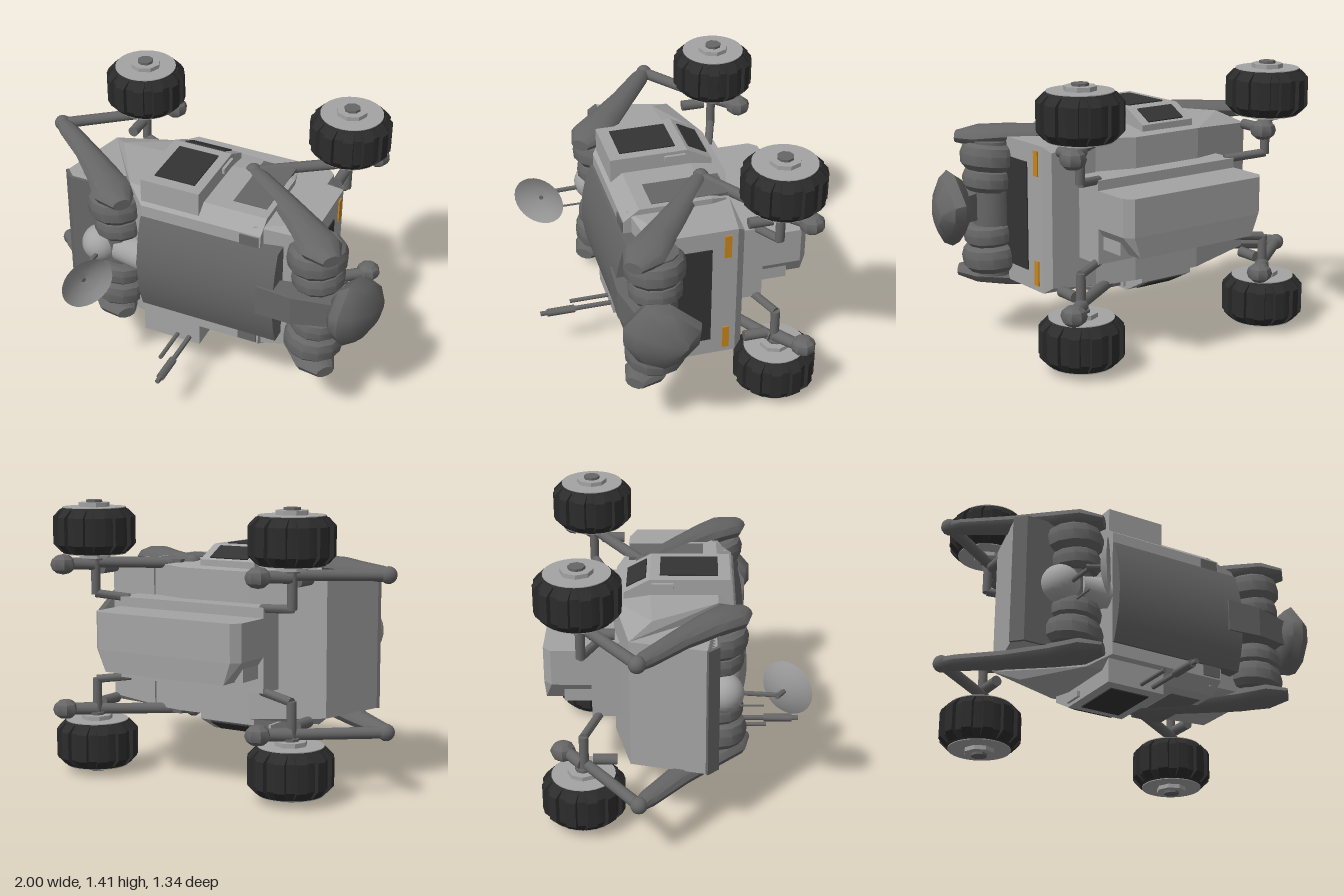
import * as THREE from 'three';
import { toCreasedNormals } from 'three/addons/utils/BufferGeometryUtils.js';
import { ConvexGeometry } from 'three/addons/geometries/ConvexGeometry.js';

const CY = 0.7075; // plane of symmetry between the two wheel rows
const SIDES = [1, -1];
const V = (x, y, z) => new THREE.Vector3(x, y, z);

export function createModel() {
  const model = new THREE.Group();
  const mat = (name, color) => Object.assign(new THREE.MeshStandardMaterial({ color }), { name });
  const light = mat('light grey', 0xa4a4a4);
  const grey = mat('mid grey', 0x666666);
  const glass = mat('dark glass', 0x333333);
  const rubber = mat('tyre rubber', 0x2c2c2c);
  const orange = mat('orange lamp', 0xc8861c);
  const red = mat('red grille', 0x5c1c16);
  const dishMat = mat('dish grey', 0x9a9a9a);
  dishMat.side = THREE.DoubleSide;

  function add(name, geo, material, parent = model) {
    const mesh = new THREE.Mesh(geo, material);
    mesh.name = name;
    parent.add(mesh);
    return mesh;
  }
  // Box given by its ranges
  function box(name, x0, x1, y0, y1, z0, z1, m) {
    const b = add(name, new THREE.BoxGeometry(x1 - x0, y1 - y0, z1 - z0), m);
    b.position.set((x0 + x1) / 2, (y0 + y1) / 2, (z0 + z1) / 2);
    return b;
  }
  // Faceted block, mirrored about the symmetry plane; each corner is [x, z, half height]
  function block(name, corners, m) {
    const pts = corners.flatMap(([x, z, h]) => SIDES.map(s => V(x, CY + s * h, z)));
    return add(name, new ConvexGeometry(pts), m);
  }
  function rod(name, a, b, r0, r1, m, sides = 12, parent = model) {
    const d = b.clone().sub(a);
    const mesh = add(name, toCreasedNormals(new THREE.CylinderGeometry(r1, r0, d.length(), sides), 0.7), m, parent);
    mesh.position.copy(a).add(b).multiplyScalar(0.5);
    mesh.quaternion.setFromUnitVectors(V(0, 1, 0), d.normalize());
    return mesh;
  }
  // Limb lofted through elliptical sections [x, y, z, half width, half height]
  function limb(name, secs, m) {
    const n = 10, pos = [], idx = [];
    secs.forEach(([x, y, z, w, h], i) => {
      const p = secs[Math.max(i - 1, 0)], q = secs[Math.min(i + 1, secs.length - 1)];
      const side = V(0, 1, 0).cross(V(q[0] - p[0], 0, q[2] - p[2]).normalize());
      for (let k = 0; k < n; k++) {
        const a = k / n * Math.PI * 2, c = Math.cos(a) * w;
        pos.push(x + side.x * c, y + Math.sin(a) * h, z + side.z * c);
      }
    });
    for (let i = 0; i < secs.length - 1; i++) for (let k = 0; k < n; k++) {
      const a = i * n + k, b = i * n + (k + 1) % n;
      idx.push(a, b, a + n, b, b + n, a + n);
    }
    const last = (secs.length - 1) * n;
    for (let k = 1; k < n - 1; k++) idx.push(0, k + 1, k, last, last + k, last + k + 1);
    const g = new THREE.BufferGeometry();
    g.setAttribute('position', new THREE.Float32BufferAttribute(pos, 3));
    g.setIndex(idx);
    return add(name, toCreasedNormals(g, 0.7), m);
  }

  // Hull
  block('mainHull', [[-0.65, -0.31, 0.34], [-0.26, -0.4, 0.37], [0.14, -0.4, 0.37], [0.38, -0.33, 0.38],
    [-0.55, -0.2, 0.4], [0.4, -0.25, 0.4], [0.4, 0.12, 0.4], [-0.35, 0.12, 0.4],
    [0.4, 0.2, 0.34], [-0.25, 0.2, 0.34]], light);
  block('leftWing', [[-0.65, -0.31, 0.34], [-0.74, 0.06, 0.34], [-0.69, 0.11, 0.34], [-0.3, 0.11, 0.34],
    [-0.3, -0.31, 0.34]], light);
  block('wingNosePanel', [[-0.752, 0.07, 0.34], [-0.7, 0.125, 0.34], [-0.42, 0.125, 0.34], [-0.42, 0.1, 0.34],
    [-0.74, 0.06, 0.34]], grey);
  block('rightHull', [[0.35, -0.35, 0.37], [0.61, -0.35, 0.34], [0.64, -0.31, 0.37], [0.64, 0.02, 0.37],
    [0.6, 0.12, 0.34], [0.35, 0.17, 0.37]], light);
  SIDES.forEach(s => {
    const y = CY + s * 0.395, t = CY + s * 0.302, h = CY + s * 0.45;
    box('sidePanel', 0.19, 0.37, y - 0.008, y + 0.008, -0.34, 0.05, grey);
    box('frontTab', 0.29, 0.39, t - 0.03, t + 0.03, 0.198, 0.206, grey);
    box('cabinHandle', 0.06, 0.075, h - 0.015, h + 0.015, -0.21, -0.1, light);
    box('cabinHandle', -0.275, -0.26, h - 0.015, h + 0.015, -0.21, -0.1, light);
  });

  // Curved front cover
  const arc = new THREE.Shape();
  arc.moveTo(-0.275, 0.14);
  arc.lineTo(0.275, 0.14);
  arc.lineTo(0.275, 0.215);
  arc.quadraticCurveTo(0, 0.325, -0.275, 0.215);
  const cover = new THREE.ExtrudeGeometry(arc, { depth: 0.75, bevelEnabled: false, curveSegments: 16 });
  cover.applyMatrix4(new THREE.Matrix4().makeBasis(V(0, 1, 0), V(0, 0, 1), V(1, 0, 0)).setPosition(-0.25, CY, 0));
  add('frontCover', toCreasedNormals(cover, 0.6), grey);

  // Cabins on both sides with windows
  block('cabins', [-0.26, 0.06].flatMap(x => [[x, 0.18, 0.482], [x, -0.22, 0.482], [x, -0.35, 0.412]]), light);
  SIDES.forEach(s => {
    const y = CY + s * 0.484;
    box('cabinWindow', -0.21, 0.01, y - 0.004, y + 0.004, -0.17, 0.12, glass);
    const w = box('slopeWindow', -0.21, 0.01, -0.004, 0.004, -0.055, 0.055, glass);
    w.position.set(-0.1, CY + s * 0.448, -0.288);
    w.rotation.x = -s * Math.atan2(0.07, 0.13);
  });

  // End window and lamps
  box('endWindow', 0.638, 0.646, 0.43, 0.98, -0.18, 0.02, glass);
  SIDES.forEach(s => box('lamp', 0.638, 0.647, CY + s * 0.278 - 0.063, CY + s * 0.278 + 0.063, -0.277, -0.242, orange));

  // Belly tank under the hull
  box('bellyBase', -0.41, 0.45, 0.5, 0.92, -0.51, -0.33, light);
  const tankCorners = [[-0.41, 0.45, -0.45], [-0.41, 0.45, -0.71], [-0.37, 0.41, -0.75]];
  add('bellyTank', new ConvexGeometry([0.68, 0.87].flatMap(y =>
    tankCorners.flatMap(([a, b, z]) => [V(a, y, z), V(b, y, z)]))), light);
  add('lowerTank', new ConvexGeometry([[-0.41, 0.45, 0.68, -0.71], [-0.37, 0.41, 0.68, -0.75],
    [-0.33, 0.37, 0.57, -0.745], [-0.33, 0.37, 0.57, -0.45], [-0.41, 0.45, 0.68, -0.45]]
    .flatMap(([a, b, y, z]) => [V(a, y, z), V(b, y, z)])), light);
  box('lowerTankStep', -0.38, 0.42, 0.572, 0.66, -0.65, -0.45, light);
  box('grille', -0.08, 0.2, 0.562, 0.57, -0.595, -0.51, red);

  // Wheels, struts and articulated arms
  const tyreProfile = [[0.13, -0.115], [0.16, -0.119], [0.192, -0.07], [0.192, 0.07], [0.16, 0.119], [0.13, 0.115]]
    .map(p => new THREE.Vector2(...p));
  const tyreGeo = toCreasedNormals(new THREE.LatheGeometry(tyreProfile, 28), 0.5);
  const lugGeo = new ConvexGeometry([1, -1].flatMap(y => [1, -1].flatMap(z => [
    V(0.15, y * 0.105, z * 0.03), V(0.172, y * 0.108, z * 0.03), V(0.209, y * 0.07, z * 0.026)])));
  for (const x of [-0.59, 0.58]) for (const s of SIDES) {
    const Y = d => CY + s * d;
    const wheel = new THREE.Group();
    wheel.name = 'wheel';
    wheel.position.set(x, Y(0.5525), -0.55);
    model.add(wheel);
    add('tyre', tyreGeo, rubber, wheel);
    rod('rim', V(0, -0.12, 0), V(0, 0.12, 0), 0.162, 0.162, light, 28, wheel);
    rod('hub', V(0, -0.142, 0), V(0, 0.142, 0), 0.08, 0.08, light, 8, wheel);
    rod('hubCap', V(0, -0.155, 0), V(0, 0.155, 0), 0.042, 0.042, grey, 8, wheel);
    for (let i = 0; i < 12; i++) add('tread', lugGeo, rubber, wheel).rotation.y = (i + 0.5) / 12 * Math.PI * 2;

    // Axle post, bracket and motor pod
    rod('axlePost', V(x, Y(0.42), -0.545), V(x, Y(0.22), -0.545), 0.024, 0.024, grey);
    rod('axleBracket', V(x, Y(0.225), -0.545), V(x < 0 ? -0.38 : 0.42, Y(0.205), -0.47), 0.022, 0.022, grey);
    rod('damper', V(x, Y(0.35), -0.5), V(x, Y(0.35), -0.38), 0.028, 0.028, grey);
    rod('motorArm', V(x, Y(0.38), -0.55), V(x + 0.11, Y(0.38), -0.64), 0.035, 0.03, grey);
    const motor = add('motorPod', toCreasedNormals(new THREE.SphereGeometry(0.066, 8, 6), 0.5), grey);
    motor.scale.y = 0.8;
    motor.position.set(x + 0.12, Y(0.378), -0.66);

    // Arm from the shoulder stack out to the elbow and back to the wheel
    const ox = x < 0 ? 0 : 1.12;
    limb('upperArm', [[-0.33, Y(0.35), 0.25, 0.05, 0.03], [-0.41, Y(0.355), 0.18, 0.11, 0.055],
      [-0.52, Y(0.365), 0.08, 0.09, 0.055], [-0.7, Y(0.375), -0.07, 0.065, 0.045],
      [-0.9, Y(0.38), -0.22, 0.05, 0.04], [-0.97, Y(0.38), -0.27, 0.03, 0.03]]
      .map(([a, ...r]) => [a + ox, ...r]), grey);
    add('elbow', new THREE.SphereGeometry(0.043, 12, 8), grey).position.set(-0.953 + ox, Y(0.382), -0.26);
    rod('forearm', V(-0.95 + ox, Y(0.382), -0.26), V(x, Y(0.385), -0.53), 0.03, 0.028, grey);

    // Bulging shoulder rings
    const cx = x < 0 ? -0.43 : 0.67;
    for (const [d, r, h, dx] of [[0.258, 0.155, 0.135, 0], [0.14, 0.137, 0.115, 0.01]]) {
      const ringProfile = [[0, -0.5], [0.8, -0.5], [0.97, -0.28], [1, 0.1], [0.92, 0.38], [0.78, 0.5], [0, 0.5]]
        .map(([a, b]) => new THREE.Vector2(a * r, b * h));
      const ring = add('shoulderRing', toCreasedNormals(new THREE.LatheGeometry(ringProfile, 12), 0.6), grey);
      ring.position.set(cx + dx, Y(d), 0.115);
      ring.rotation.z = 0.08 * s;
    }
  }
  for (const x of [-0.43, 0.67])
    rod('shoulderCore', V(x, 0.36, 0.1), V(x, 1.05, 0.1), 0.1, 0.1, grey);

  // Faceted end pod: one outline [z, y] repeated in layers [x, scale, z shift]
  const podOutline = [[0.19, 0.06], [0.08, 0.19], [-0.03, 0.185], [-0.18, 0.06], [-0.17, -0.03],
    [-0.07, -0.15], [0.02, -0.19], [0.12, -0.15], [0.19, -0.04]];
  const podLayers = [[0.79, 0.45, 0.03], [0.83, 0.8, 0.02], [0.885, 1, 0], [0.94, 0.85, -0.01], [0.995, 0.35, -0.03]];
  const podPoints = podLayers.flatMap(([x, k, dz]) => podOutline.map(([z, y]) =>
    V(x - 0.15 * z * k, 0.71 + y * k, 0.13 + z * k + dz)));
  add('endPod', toCreasedNormals(new ConvexGeometry(podPoints), 0.7), grey);
  add('podLink', new ConvexGeometry([[0.41, 0.085, 0.2], [0.41, 0.085, 0.275], [0.6, 0.08, 0.285],
    [0.88, 0.065, 0.22], [0.88, 0.065, 0.06]].flatMap(([x, h, z]) => SIDES.map(s => V(x, 0.715 + s * h, z)))), grey);

  // Dish on its mount
  add('dishMount', new THREE.SphereGeometry(0.1, 20, 14), light).position.set(-0.52, 0.7, 0.15);
  rod('mountDrum', V(-0.42, 0.7, 0.15), V(-0.27, 0.7, 0.15), 0.07, 0.09, light, 16);
  rod('dishPost', V(-0.5, 0.69, 0.2), V(-0.505, 0.68, 0.42), 0.012, 0.012, grey);
  rod('dishStem', V(-0.52, 0.68, 0.41), V(-0.462, 0.68, 0.45), 0.015, 0.012, grey);
  const dishProfile = [[0.001, 0], [0.05, 0.005], [0.1, 0.018], [0.143, 0.04]].map(p => new THREE.Vector2(...p));
  const dish = add('dish', new THREE.LatheGeometry(dishProfile, 28), dishMat);
  dish.position.set(-0.465, 0.682, 0.445);
  dish.quaternion.setFromUnitVectors(V(0, 1, 0), V(0.82, 0, 0.57).normalize());
  rod('antenna', V(-0.47, 0.6, 0.2), V(-0.47, 0.6, 0.35), 0.006, 0.006, grey, 6);

  // Twin barrels on the lower cabin
  rod('barrel', V(0, 0.253, 0.15), V(0, 0.253, 0.565), 0.013, 0.013, grey);
  rod('barrelSleeve', V(0, 0.253, 0.38), V(0, 0.253, 0.53), 0.021, 0.021, grey);
  rod('shortBarrel', V(-0.068, 0.253, 0.15), V(-0.068, 0.253, 0.39), 0.011, 0.011, grey);
  return model;
}
